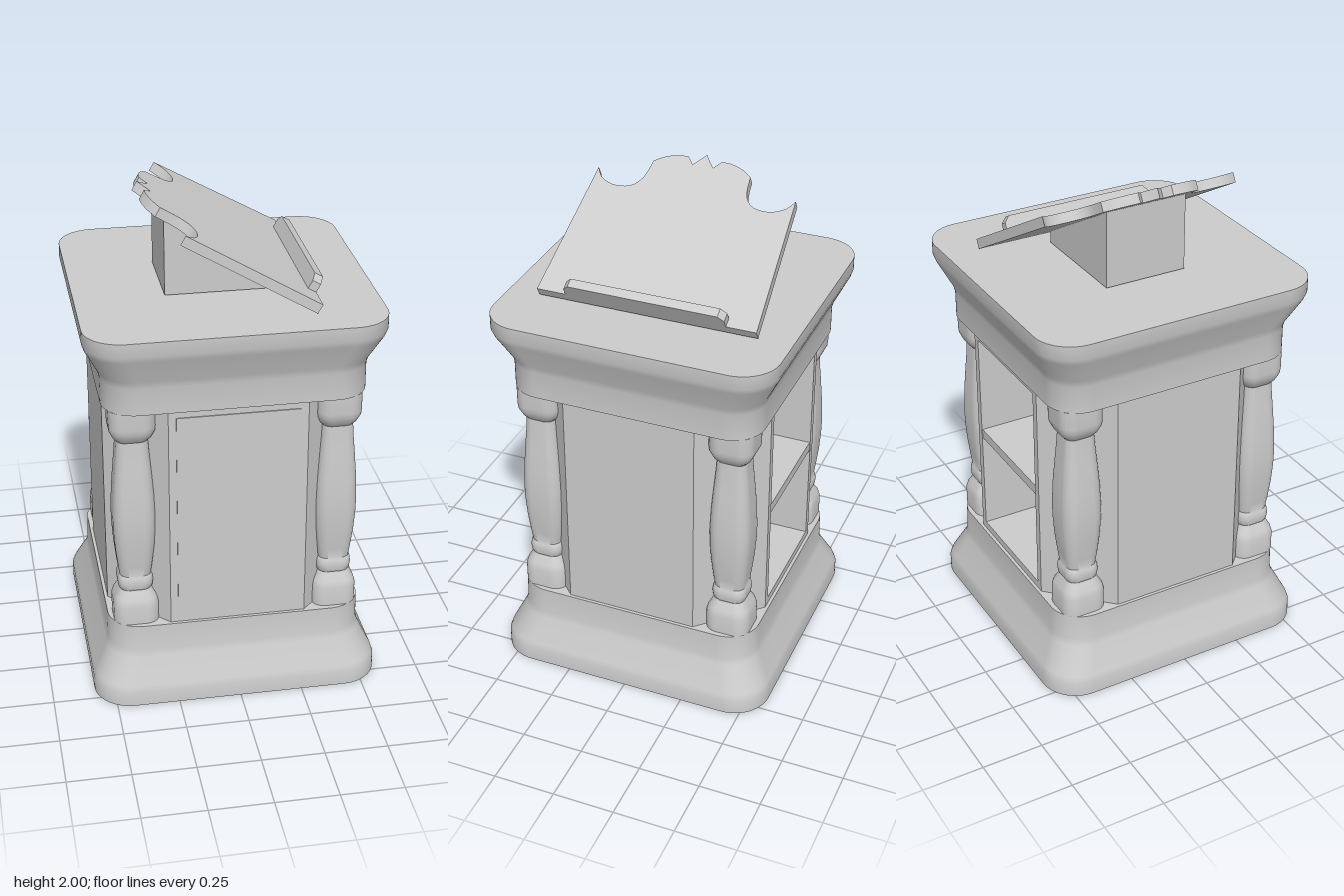
import * as THREE from 'three';
import { toCreasedNormals } from 'three/addons/utils/BufferGeometryUtils.js';

const material = new THREE.MeshStandardMaterial({ color: 0xcccccc });

function add(parent, name, geometry, x = 0, y = 0, z = 0) {
  const mesh = new THREE.Mesh(geometry, material);
  mesh.name = name;
  mesh.position.set(x, y, z);
  parent.add(mesh);
  return mesh;
}

const polygon = (points) => new THREE.Shape(points.map(([x, y]) => new THREE.Vector2(x, y)));

function extrude(shape, depth, options = {}) {
  return new THREE.ExtrudeGeometry(shape, { depth, bevelEnabled: false, curveSegments: 8, ...options });
}

// Square of half width 1 with rounded corners of radius r
function roundedSquare(r) {
  const c = 1 - r;
  const shape = new THREE.Shape();
  [[c, c], [-c, c], [-c, -c], [c, -c]].forEach(([x, y], i) => {
    shape.absarc(x, y, r, (i * Math.PI) / 2, ((i + 1) * Math.PI) / 2, false);
  });
  return shape;
}

// Rounded-square column whose half width follows a profile of [halfWidth, y]
function profiledBlock(profile, cornerRatio) {
  const steps = profile.length - 1;
  const geometry = extrude(roundedSquare(cornerRatio), 1, { steps });
  geometry.rotateX(-Math.PI / 2);
  const pos = geometry.attributes.position;
  for (let i = 0; i < pos.count; i++) {
    const [half, y] = profile[Math.round(pos.getY(i) * steps)];
    pos.setXYZ(i, pos.getX(i) * half, y, pos.getZ(i) * half);
  }
  return toCreasedNormals(geometry, 0.65);
}

// Upright prism from a plan outline
function prism(points, y0, y1) {
  return extrude(polygon(points), y1 - y0).rotateX(-Math.PI / 2).translate(0, y0, 0);
}

function createCabinet() {
  const cabinet = new THREE.Group();
  cabinet.name = 'cabinet';
  const a = 0.27, b = 0.497, w = 0.24, back = 0.25;
  const outline = [[-a, b], [-b, a], [-b, -a], [-a, -b], [a, -b], [b, -a], [b, a], [a, b]];
  const notch = [[w, b], [w, back], [-w, back], [-w, b]];
  add(cabinet, 'cabinetFloor', prism(outline, 0.33, 0.36));
  add(cabinet, 'cabinetWalls', prism([...outline, ...notch], 0.36, 1.24));
  add(cabinet, 'cabinetCeiling', prism(outline, 1.24, 1.27));
  add(cabinet, 'shelf', new THREE.BoxGeometry(2 * w, 0.04, b - back - 0.005), 0, 0.8, -(b + back) / 2);
  add(cabinet, 'frontPanel', new THREE.BoxGeometry(2 * w, 0.88, 0.008), 0, 0.8, b);
  return cabinet;
}

function createReadingStand() {
  const stand = new THREE.Group();
  stand.name = 'readingStand';

  // Wedge under the board
  const wedge = polygon([[-0.23, 1.6], [0.227, 1.6], [0.227, 1.648], [-0.23, 1.912]]);
  add(stand, 'wedge', extrude(wedge, 0.34).translate(0, 0, -0.17));

  // Tilted frame: local y runs up the slope, local z out of the board
  const tilted = new THREE.Group();
  tilted.name = 'tiltedBoard';
  const c = Math.cos(Math.PI / 6), s = 0.5;
  tilted.quaternion.setFromRotationMatrix(new THREE.Matrix4().makeBasis(
    new THREE.Vector3(0, 0, -1), new THREE.Vector3(-c, s, 0), new THREE.Vector3(s, c, 0)));
  tilted.position.set(0.325, 1.637, 0);
  stand.add(tilted);

  // Board with a scalloped crest, mirrored about its middle
  const scallop = new THREE.SplineCurve([
    [0.41, 0.588], [0.385, 0.55], [0.345, 0.527], [0.3, 0.52], [0.25, 0.532],
    [0.218, 0.57], [0.207, 0.615], [0.203, 0.66],
  ].map((p) => new THREE.Vector2(...p))).getPoints(20);
  const crest = new THREE.SplineCurve([
    [0.203, 0.66], [0.16, 0.69], [0.11, 0.706], [0.07, 0.708],
  ].map((p) => new THREE.Vector2(...p))).getPoints(10).slice(1);
  const half = [
    [0.445, 0], ...[...scallop, ...crest].map((p) => [p.x, p.y]),
    [0.055, 0.69], [0.043, 0.674], [0.025, 0.695],
  ];
  const mirrored = half.map(([x, y]) => [-x, y]).reverse();
  const board = extrude(polygon([...half, [0, 0.73], ...mirrored]), 0.04).translate(0, 0, -0.04);
  add(tilted, 'board', toCreasedNormals(board, 0.5));

  // Ledge that holds the book
  const ledge = polygon([[-0.325, 0], [0.325, 0], [0.325, 0.035], [0.302, 0.06], [-0.302, 0.06], [-0.325, 0.035]]);
  add(tilted, 'bookLedge', extrude(ledge, 0.037).rotateX(Math.PI / 2).translate(0, 0.037, 0));
  return stand;
}

export function createModel() {
  const model = new THREE.Group();
  model.name = 'lectern';

  // Flared plinth and matching top
  add(model, 'plinth', profiledBlock(
    [[0.578, 0], [0.578, 0.06], [0.57, 0.085], [0.519, 0.19], [0.512, 0.22], [0.51, 0.33]], 0.26));
  add(model, 'top', profiledBlock(
    [[0.512, 1.27], [0.512, 1.38], [0.519, 1.41], [0.57, 1.515], [0.578, 1.54], [0.578, 1.596]], 0.26));

  model.add(createCabinet());

  // Turned pillars on the four chamfered corners
  const pillar = profiledBlock([
    [0.09, 0.33], [0.09, 0.41], [0.083, 0.435], [0.065, 0.465], [0.062, 0.472],
    [0.067, 0.48], [0.07, 0.503], [0.067, 0.526], [0.062, 0.535],
    [0.068, 0.58], [0.077, 0.66], [0.082, 0.74], [0.083, 0.8], [0.079, 0.9],
    [0.071, 1.0], [0.064, 1.08], [0.061, 1.13], [0.074, 1.145], [0.088, 1.175],
    [0.09, 1.195], [0.09, 1.27],
  ], 0.6);
  for (const x of [-0.4, 0.4]) {
    for (const z of [-0.4, 0.4]) add(model, 'pillar', pillar, x, 0, z);
  }

  model.add(createReadingStand());
  return model;
}
